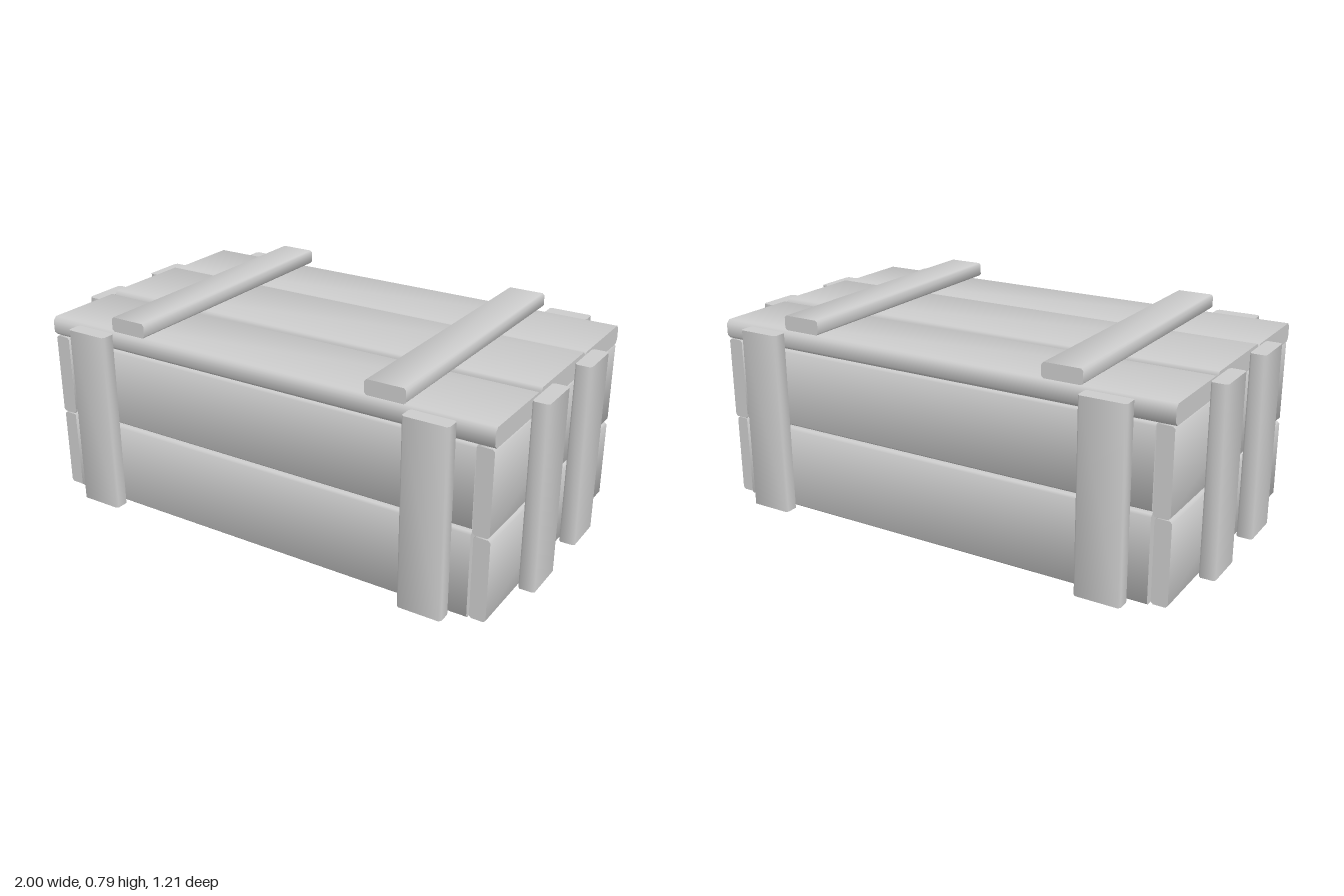
import * as THREE from 'three';
import { mergeVertices, toCreasedNormals } from 'three/addons/utils/BufferGeometryUtils.js';

const material = new THREE.MeshStandardMaterial({ color: 0xcccccc });

// Board with chamfered long edges and square-cut ends, filling the given ranges along x, y, z
function board(name, axis, [x0, x1], [y0, y1], [z0, z1], c = 0.008) {
  const size = { x: x1 - x0, y: y1 - y0, z: z1 - z0 };
  // Section width and height for each grain direction
  const [w, h] = { x: [size.z, size.y], y: [size.x, size.z], z: [size.x, size.y] }[axis].map(v => v / 2);
  const section = new THREE.Shape([
    [-w + c, -h], [w - c, -h], [w, -h + c], [w, h - c],
    [w - c, h], [-w + c, h], [-w, h - c], [-w, -h + c],
  ].map(p => new THREE.Vector2(...p)));
  let geo = new THREE.ExtrudeGeometry(section, { depth: size[axis], bevelEnabled: false });
  geo.translate(0, 0, -size[axis] / 2);
  if (axis === 'x') geo.rotateY(Math.PI / 2);
  if (axis === 'y') geo.rotateX(Math.PI / 2);
  geo.deleteAttribute('uv');
  geo.deleteAttribute('normal');
  geo = toCreasedNormals(mergeVertices(geo), 0.9);
  const mesh = new THREE.Mesh(geo, material);
  mesh.name = name;
  mesh.position.set((x0 + x1) / 2, (y0 + y1) / 2, (z0 + z1) / 2);
  return mesh;
}

const mirror = (s, a, b) => (s > 0 ? [a, b] : [-b, -a]);

export function createModel() {
  const crate = new THREE.Group();
  crate.name = 'crate';
  const add = (...args) => crate.add(board(...args));

  // Floor panel
  add('floor', 'x', [-0.875, 0.875], [0.006, 0.06], [-0.485, 0.485]);

  for (const s of [1, -1]) {
    const face = s > 0 ? 'front' : 'back';
    const end = s > 0 ? 'left' : 'right';

    // Long wall planks
    add(face + 'LowerPlank', 'x', [-0.87, 0.87], [0.004, 0.332], mirror(s, 0.485, 0.545));
    add(face + 'UpperPlank', 'x', [-0.87, 0.87], [0.34, 0.643], mirror(s, 0.48, 0.54));

    // End wall planks
    add(end + 'LowerPlank', 'z', mirror(s, 0.875, 0.936), [0.004, 0.317], [-0.527, 0.535]);
    add(end + 'UpperPlank', 'z', mirror(s, 0.872, 0.934), [0.325, 0.645], [-0.537, 0.54]);

    // Upright battens on the long walls
    add(face + 'BattenRight', 'y', [-0.8, -0.625], [0, 0.715], mirror(s, 0.547, 0.606));
    add(face + 'BattenLeft', 'y', [0.635, 0.805], [0, 0.715], mirror(s, 0.547, 0.606));

    // Upright battens on the end walls
    add(end + 'BattenFront', 'y', mirror(s, 0.938, 1), [0, 0.715], [0.103, 0.28]);
    add(end + 'BattenBack', 'y', mirror(s, 0.938, 1), [0, 0.715], [-0.268, -0.093]);

    // Outer lid planks
    add(face + 'LidPlank', 'x', [-0.938, 0.935], [0.647, 0.721], mirror(s, 0.2, 0.545), 0.014);
  }

  // Middle lid plank and cross battens
  add('middleLidPlank', 'x', [-0.938, 0.935], [0.65, 0.728], [-0.195, 0.192], 0.01);
  add('lidBattenRight', 'z', [-0.62, -0.467], [0.73, 0.786], [-0.556, 0.556]);
  add('lidBattenLeft', 'z', [0.47, 0.625], [0.73, 0.786], [-0.556, 0.556]);

  return crate;
}
